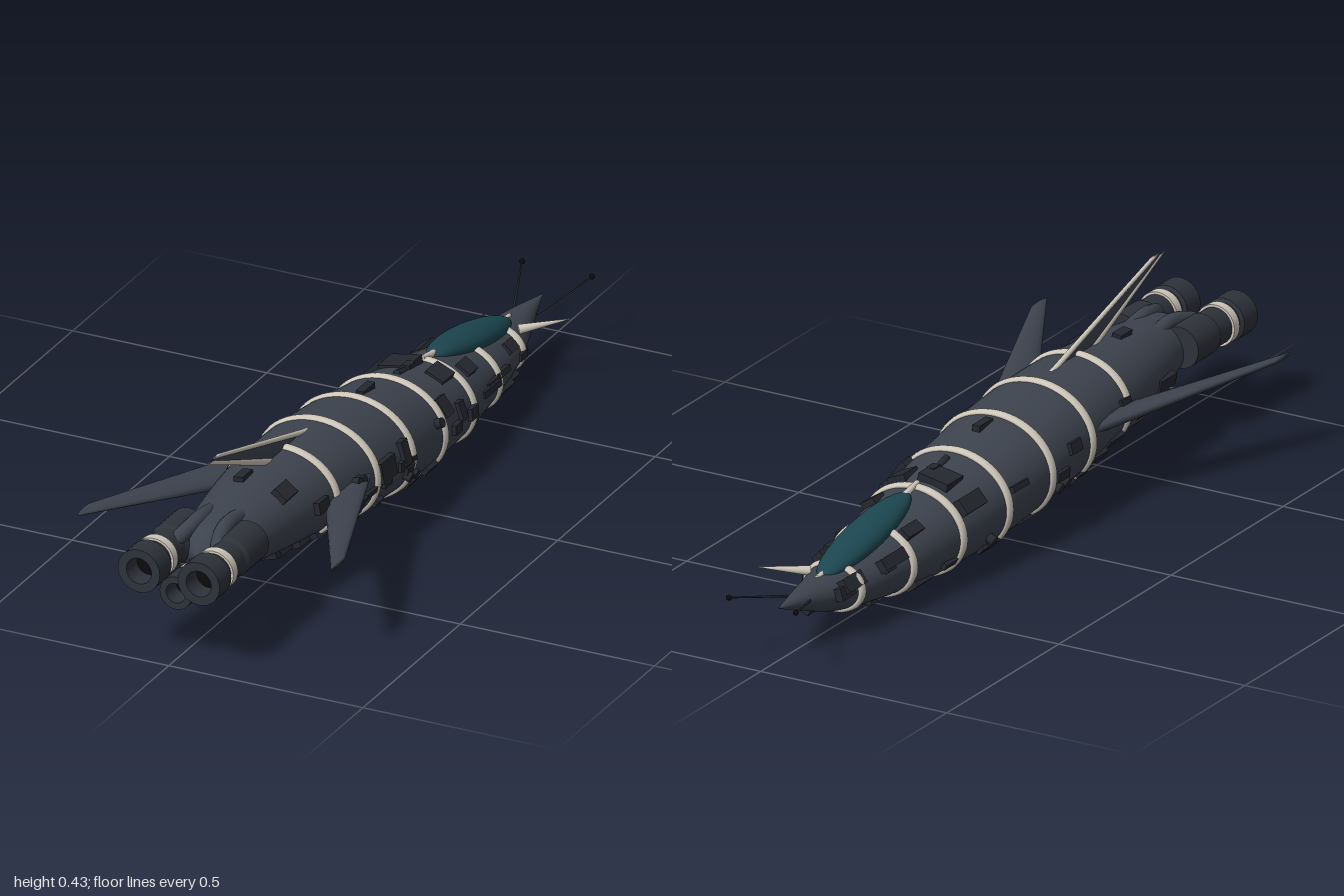
import * as THREE from 'three';
import { mergeVertices } from 'three/addons/utils/BufferGeometryUtils.js';

const mat = (color) => new THREE.MeshStandardMaterial({ color });
const HULL = mat(0x3d434e), DARK = mat(0x25282f), ENGINE = mat(0x2e323a);
const IVORY = mat(0xcfc8ba), GLASS = mat(0x1c4650), BLACK = mat(0x0b0b0b);
const { lerp } = THREE.MathUtils;
const V = (x, y, z) => new THREE.Vector3(x, y, z);

// Hull stations: z, half width, top y, bottom y
const STATIONS = [
  [-0.92, 0.001, 0.135, 0.133], [-0.82, 0.03, 0.148, 0.095], [-0.72, 0.06, 0.155, 0.06],
  [-0.67, 0.074, 0.161, 0.05], [-0.49, 0.105, 0.193, 0.026], [-0.31, 0.13, 0.228, 0.016],
  [-0.13, 0.145, 0.257, 0.018], [0.05, 0.153, 0.286, 0.035], [0.23, 0.152, 0.305, 0.058],
  [0.41, 0.139, 0.312, 0.088], [0.58, 0.118, 0.305, 0.112], [0.74, 0.088, 0.288, 0.14],
  [0.82, 0.062, 0.272, 0.168], [0.85, 0.03, 0.245, 0.195], [0.855, 0.001, 0.222, 0.22],
];
const spline = new THREE.CubicInterpolant(STATIONS.map((s) => s[0]), STATIONS.flatMap((s) => s.slice(1)), 3);
function section(z) {
  const [a, top, bottom] = spline.evaluate(z);
  return { a, b: (top - bottom) / 2, cy: (top + bottom) / 2 };
}

function add(parent, name, geometry, material, pos = [0, 0, 0]) {
  const mesh = new THREE.Mesh(geometry, material);
  mesh.name = name;
  mesh.position.set(...pos);
  parent.add(mesh);
  return mesh;
}

// Applies a rule to each vertex, welds seams and recomputes smooth normals
function reshape(geometry, rule) {
  const p = geometry.attributes.position;
  for (let i = 0; i < p.count; i++) p.setXYZ(i, ...rule(p.getX(i), p.getY(i), p.getZ(i)));
  geometry.deleteAttribute('uv');
  geometry.deleteAttribute('normal');
  const welded = mergeVertices(geometry, 1e-6);
  welded.computeVertexNormals();
  return welded;
}

function rod(parent, name, from, to, r0, r1, material) {
  const d = to.clone().sub(from);
  const mesh = add(parent, name, new THREE.CylinderGeometry(r1, r0, d.length(), 10), material,
    from.clone().lerp(to, 0.5).toArray());
  mesh.quaternion.setFromUnitVectors(V(0, 1, 0), d.normalize());
  return mesh;
}

// Lens-section blade; root and tip are [x, y, centre z, half chord, half thickness]
function blade(root, tip) {
  return reshape(new THREE.CylinderGeometry(1, 1, 1, 16, 1), (x, y, z) => {
    const [bx, by, bz, chord, thick] = root.map((v, i) => lerp(v, tip[i], y + 0.5));
    return [bx, by - x * thick, bz + z * chord];
  });
}

// Places an object on the hull surface, its local x pointing outward
function mount(object, z, angle) {
  const { a, b, cy } = section(z);
  object.position.set(a * Math.cos(angle), cy + b * Math.sin(angle), z);
  object.rotation.z = Math.atan2(Math.sin(angle) / b, Math.cos(angle) / a);
  return object;
}

function engine(parent, name, x, y, r, z0, z1, bandZ) {
  const g = new THREE.Group();
  g.name = name;
  g.position.set(x, y, 0);
  parent.add(g);
  // Housing, flared lip and bore
  const profile = [[0, z0], [r * 0.94, z0], [r * 0.94, z0 + 0.1], [r * 0.84, z0 + 0.11], [r * 0.84, z1 - 0.065],
    [r, z1 - 0.06], [r, z1], [r * 0.6, z1], [r * 0.55, z1 - 0.06]];
  const shell = profile.flatMap(([pr, pz], i) => (i ? [new THREE.LatheGeometry(
    [profile[i - 1], [pr, pz]].map((q) => new THREE.Vector2(...q)), 32)] : []));
  shell.forEach((s) => add(g, 'engineHousing', s.rotateX(Math.PI / 2), ENGINE));
  add(g, 'engineBore', new THREE.CircleGeometry(r * 0.58, 32), BLACK, [0, 0, z1 - 0.05]);
  const band = new THREE.CylinderGeometry(r * 0.95, r * 0.95, 0.024, 32);
  add(g, 'engineBand', band.rotateX(Math.PI / 2), IVORY, [0, 0, bandZ]);
}

export function createModel() {
  const model = new THREE.Group();
  model.name = 'spacecraft';

  // Hull
  const tube = new THREE.CylinderGeometry(1, 1, 1, 48, 64, true).rotateX(Math.PI / 2);
  add(model, 'hull', reshape(tube, (x, y, t) => {
    const z = lerp(-0.92, 0.855, t + 0.5);
    const { a, b, cy } = section(z);
    return [x * a, cy + y * b, z];
  }), HULL);

  // Hull rings
  for (let i = 0; i < 7; i++) {
    const z = -0.67 + i * 0.18;
    const { a, b, cy } = section(z);
    const ring = reshape(new THREE.TorusGeometry(1, 0.1, 10, 56), (x, y, w) => {
      const r = Math.hypot(x, y), out = (r - 1) * 0.08;
      return [(x / r) * (a + out), (y / r) * (b + out), w * 0.13];
    });
    add(model, 'hullRing', ring, IVORY, [0, cy, z]);
  }

  // Canopy with end fittings
  const canopy = add(model, 'canopy', new THREE.SphereGeometry(1, 32, 20), GLASS, [0, 0.184, -0.54]);
  canopy.scale.set(0.05, 0.032, 0.2);
  canopy.rotation.x = -0.19;
  rod(model, 'canopyFitting', V(0, 0.222, -0.36), V(0, 0.236, -0.3), 0.009, 0.006, IVORY);
  rod(model, 'canopyFitting', V(0, 0.152, -0.71), V(0, 0.153, -0.75), 0.009, 0.005, IVORY);
  rod(model, 'dorsalPin', V(0, 0.24, -0.21), V(0, 0.252, -0.17), 0.009, 0.009, DARK);

  // Wings and nose antennas, mirrored
  for (const side of [1, -1]) {
    const half = new THREE.Group();
    half.name = side > 0 ? 'leftSide' : 'rightSide';
    half.scale.x = side;
    model.add(half);
    add(half, 'wing', blade([0.125, 0.2, 0.32, 0.125, 0.02], [0.327, 0.241, 0.782, 0.037, 0.007]), HULL);
    rod(half, 'antenna', V(0.03, 0.128, -0.83), V(0.09, 0.167, -0.992), 0.003, 0.002, DARK);
    add(half, 'antennaTip', new THREE.SphereGeometry(0.007, 12, 8), BLACK, [0.09, 0.167, -0.993]);
    // Feed pipe into each main engine
    const feed = new THREE.CatmullRomCurve3([V(0.035, 0.268, 0.7), V(0.036, 0.276, 0.77), V(0.045, 0.264, 0.83), V(0.065, 0.24, 0.88)]);
    add(half, 'feedPipe', new THREE.TubeGeometry(feed, 16, 0.019, 12), HULL);
    engine(half, 'mainEngine', 0.077, 0.23, 0.054, 0.74, 1.0, 0.912);
  }
  engine(model, 'lowerEngine', 0, 0.175, 0.041, 0.76, 0.965, 0.885);

  // Tail fin: dark panel between ivory edges
  const fin = new THREE.Group();
  fin.name = 'tailFin';
  fin.rotation.z = Math.PI / 2;
  model.add(fin);
  add(fin, 'finPanel', blade([0.295, 0, 0.38, 0.09, 0.004], [0.432, 0, 0.768, 0.028, 0.003]), HULL);
  add(fin, 'finLeadingEdge', blade([0.3, 0, 0.285, 0.025, 0.007], [0.435, 0, 0.755, 0.018, 0.004]), IVORY);
  add(fin, 'finTrailingEdge', blade([0.3, 0, 0.47, 0.025, 0.007], [0.432, 0, 0.785, 0.014, 0.004]), IVORY);

  // Side spike near the nose
  rod(model, 'noseSpike', V(0.045, 0.145, -0.705), V(0.14, 0.16, -0.78), 0.012, 0.001, IVORY);

  // Belly handle
  const arch = new THREE.CatmullRomCurve3([V(-0.065, 0.06, 0.16), V(-0.05, 0.034, 0.16), V(-0.02, 0.018, 0.16),
    V(0.02, 0.018, 0.16), V(0.05, 0.034, 0.16), V(0.065, 0.06, 0.16)]);
  add(model, 'bellyHandle', new THREE.TubeGeometry(arch, 24, 0.011, 10), DARK);

  // Surface panels: height out, width around, length along
  const panel = (z, angle, h, w, l) => mount(add(model, 'surfacePanel', new THREE.BoxGeometry(h, w, l), DARK), z, angle);

  // Panels on the left flank: z, y, length, width
  [[0.57, 0.28, 0.06, 0.04], [0.36, 0.155, 0.035, 0.05], [0.31, 0.15, 0.04, 0.05], [0.19, 0.195, 0.07, 0.05],
    [0.095, 0.195, 0.03, 0.06], [0.2, 0.115, 0.03, 0.02], [-0.16, 0.195, 0.04, 0.05], [-0.19, 0.135, 0.035, 0.025],
    [-0.23, 0.245, 0.03, 0.02], [-0.23, 0.16, 0.025, 0.045], [-0.29, 0.13, 0.035, 0.03], [-0.37, 0.195, 0.045, 0.04],
    [-0.42, 0.13, 0.085, 0.016], [-0.56, 0.07, 0.05, 0.025], [-0.61, 0.145, 0.04, 0.03], [-0.73, 0.07, 0.05, 0.03],
    [0.46, 0.11, 0.05, 0.025], [0.53, 0.115, 0.06, 0.025], [-0.08, 0.08, 0.05, 0.02], [0.02, 0.09, 0.06, 0.02],
    [-0.51, 0.13, 0.06, 0.014], [0.48, 0.22, 0.05, 0.03]].forEach(([z, y, l, w]) => {
    const { b, cy } = section(z);
    panel(z, Math.asin(THREE.MathUtils.clamp((y - cy) / b, -1, 1)), 0.022, w, l);
  });

  // Panels on the back, right flank and belly: z, angle in degrees, width, length
  [[-0.25, 103, 0.08, 0.07], [-0.26, 62, 0.05, 0.06], [-0.01, 90, 0.02, 0.06], [0.58, 99, 0.025, 0.05],
    [-0.45, 130, 0.03, 0.07], [-0.25, 145, 0.04, 0.09], [-0.55, 150, 0.03, 0.1], [-0.69, 150, 0.035, 0.08],
    [-0.72, 165, 0.03, 0.06], [-0.36, 270, 0.05, 0.06], [-0.24, 282, 0.03, 0.04], [0.62, 190, 0.03, 0.07],
    [0.5, 225, 0.04, 0.06], [0.56, 290, 0.05, 0.04]].forEach(([z, deg, w, l]) => panel(z, THREE.MathUtils.degToRad(deg), 0.02, w, l));

  // Scattered small strips over the flanks and belly
  let seed = 7;
  const rand = () => (seed = (seed * 16807) % 2147483647) / 2147483647;
  for (let i = 0; i < 44; i++) {
    const z = lerp(-0.66, 0.5, rand());
    panel(z, lerp(2.7, 6.6, rand()), 0.016, lerp(0.012, 0.035, rand()), lerp(0.025, 0.07, rand()));
  }

  // Paired round caps on both flanks
  for (const [z, deg] of [[0.08, -15], [0.05, -15], [0.33, 12], [0.31, 12], [-0.1, 20], [0.1, 195], [0.07, 195], [-0.2, 200]]) {
    const cap = new THREE.CylinderGeometry(0.012, 0.012, 0.034, 14).rotateZ(Math.PI / 2);
    mount(add(model, 'roundCap', cap, DARK), z, THREE.MathUtils.degToRad(deg));
  }
  return model;
}
